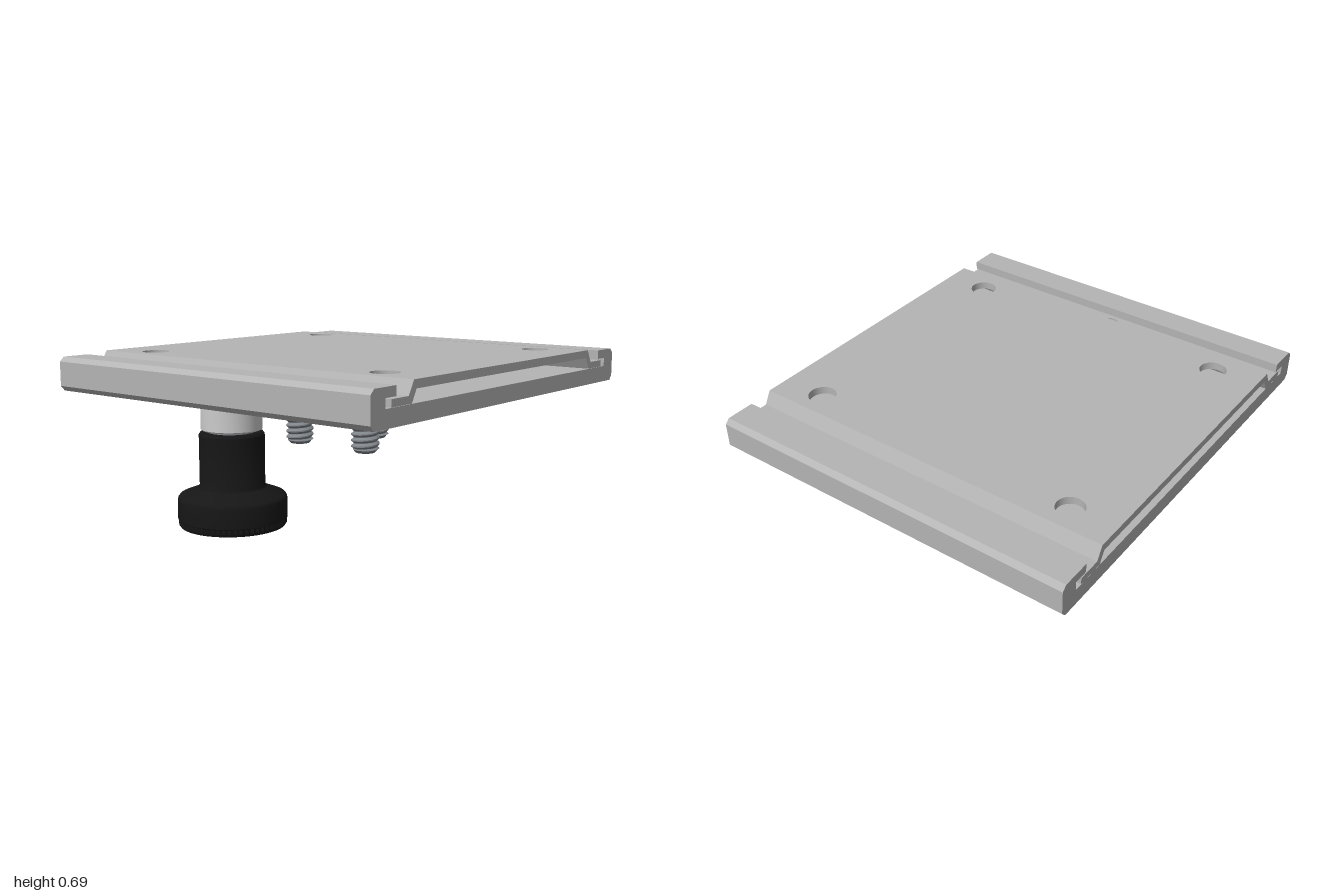
import * as THREE from 'three';
import { toCreasedNormals } from 'three/addons/utils/BufferGeometryUtils.js';

const WIDTH = 1.78;
const PLATE_Z = -0.017; // centre of the plate along z

const material = (color) => new THREE.MeshStandardMaterial({ color });
const plateGrey = material(0xb4b4b4);
const collarGrey = material(0xdcdcdc);
const steel = material(0x80858a);
const black = material(0x161616);

function add(parent, name, geometry, mat) {
  const mesh = new THREE.Mesh(geometry, mat);
  mesh.name = name;
  parent.add(mesh);
  return mesh;
}

// Section given as [z, y] points, extruded along x
function extrudeAlongX(points, width = WIDTH) {
  const shape = new THREE.Shape(points.map(([z, y]) => new THREE.Vector2(z, y)));
  const g = new THREE.ExtrudeGeometry(shape, { depth: width, bevelEnabled: false });
  return g.rotateY(-Math.PI / 2).translate(width / 2, 0, 0);
}

// Horizontal slab with round holes given as [x, z, radius]
function slab(z0, z1, y0, y1, holes = []) {
  const w = WIDTH / 2;
  const shape = new THREE.Shape([[-w, -z1], [w, -z1], [w, -z0], [-w, -z0]].map((p) => new THREE.Vector2(...p)));
  for (const [x, z, r] of holes) {
    shape.holes.push(new THREE.Path().absarc(x, -z, r, 0, Math.PI * 2, true));
  }
  const g = new THREE.ExtrudeGeometry(shape, { depth: y1 - y0, bevelEnabled: false, curveSegments: 24 });
  return g.rotateX(-Math.PI / 2).translate(0, y0, 0);
}

const lathe = (points, segments) =>
  new THREE.LatheGeometry(points.map(([r, y]) => new THREE.Vector2(r, y)), segments);

// Screw shank with a helical thread and a flared top
function screwGeometry() {
  const pitch = 0.028, low = 0.255, high = 0.495, points = [];
  for (let y = low - pitch; y < high + pitch; y += pitch) {
    points.push([0.054, y], [0.066, y + pitch * 0.38], [0.066, y + pitch * 0.58], [0.054, y + pitch * 0.96]);
  }
  const thread = lathe(points, 32);
  const { position, uv } = thread.attributes;
  for (let i = 0; i < position.count; i++) {
    const y = position.getY(i) + uv.getX(i) * pitch;
    position.setY(i, THREE.MathUtils.clamp(y, low, high));
  }
  return toCreasedNormals(thread, 0.5);
}

export function createModel() {
  const model = new THREE.Group();
  model.name = 'slidingPlateClamp';

  // Base channel with undercut rails on both edges
  const half = [[0.965, 0.52], [0.985, 0.543], [0.985, 0.655], [0.963, 0.676], [0.828, 0.676],
    [0.828, 0.635], [0.895, 0.635], [0.895, 0.595]];
  const section = [...half, ...half.map(([z, y]) => [-z, y]).reverse()]
    .map(([z, y]) => [z + PLATE_Z, y]);
  add(model, 'baseChannel', extrudeAlongX(section), plateGrey);

  // Raised sheet that slides in the rails
  const sheet = new THREE.Group();
  sheet.name = 'raisedSheet';
  model.add(sheet);
  const holes = [];
  for (const x of [-0.67, 0.67]) for (const z of [-0.62, 0.585]) holes.push([x, z, 0.063]);
  add(sheet, 'sheetTop', slab(PLATE_Z - 0.7, PLATE_Z + 0.7, 0.65, 0.686, holes), plateGrey);
  for (const s of [1, -1]) {
    const slope = [[0.73, 0.596], [0.75, 0.596], [0.75, 0.627], [0.717, 0.686], [0.7, 0.686], [0.7, 0.65]]
      .map(([z, y]) => [s * z + PLATE_Z, y]);
    add(sheet, 'sheetSlope', extrudeAlongX(slope), plateGrey);
    const ends = [PLATE_Z + s * 0.75, PLATE_Z + s * 0.86].sort((a, b) => a - b);
    add(sheet, 'sheetFlange', slab(...ends, 0.596, 0.627, s > 0 ? [[0, 0.767, 0.035]] : []), plateGrey);
    // Stop strip inside the rail slot
    const strip = add(sheet, 'slotStrip', new THREE.BoxGeometry(1.6, 0.038, 0.034), plateGrey);
    strip.position.set(0, 0.615, PLATE_Z + s * 0.877);
  }

  // Clamping knob under the front edge
  const knob = new THREE.Group();
  knob.name = 'clampKnob';
  knob.position.z = 0.767;
  model.add(knob);
  const grip = lathe([[0, 0], [0.222, 0], [0.23, 0.01], [0.23, 0.03], [0.233, 0.034], [0.233, 0.112],
    [0.23, 0.125], [0.222, 0.134], [0.155, 0.16], [0.144, 0.166], [0.139, 0.176], [0.139, 0.392],
    [0.132, 0.402], [0, 0.402]], 120);
  // Fine ribs around the lower rim
  const p = grip.attributes.position;
  for (let i = 0; i < p.count; i++) {
    const column = Math.floor(i / 14), row = i % 14;
    if ((row === 2 || row === 3) && column % 2) {
      p.setX(i, p.getX(i) * 0.975);
      p.setZ(i, p.getZ(i) * 0.975);
    }
  }
  add(knob, 'knobGrip', toCreasedNormals(grip, 0.5), black);
  add(knob, 'knobStem', new THREE.CylinderGeometry(0.1, 0.1, 0.02, 32).translate(0, 0.408, 0), steel);
  add(knob, 'knobCollar', toCreasedNormals(
    lathe([[0, 0.411], [0.125, 0.411], [0.13, 0.416], [0.13, 0.521], [0, 0.521]], 64), 0.5), collarGrey);

  // Three threaded screws below the base
  const thread = screwGeometry();
  const head = toCreasedNormals(
    lathe([[0.054, 0.49], [0.068, 0.497], [0.086, 0.516], [0.086, 0.522]], 32), 0.5);
  const tip = toCreasedNormals(lathe([[0, 0.236], [0.046, 0.236], [0.058, 0.25], [0.054, 0.262]], 32), 0.5);
  for (const [x, z] of [[0.2, 0.1], [-0.2, 0.1], [0, -0.24]]) {
    const screw = new THREE.Group();
    screw.name = 'screw';
    screw.position.set(x, 0, z);
    add(screw, 'screwThread', thread, steel);
    add(screw, 'screwHead', head, steel);
    add(screw, 'screwTip', tip, steel);
    model.add(screw);
  }
  return model;
}
